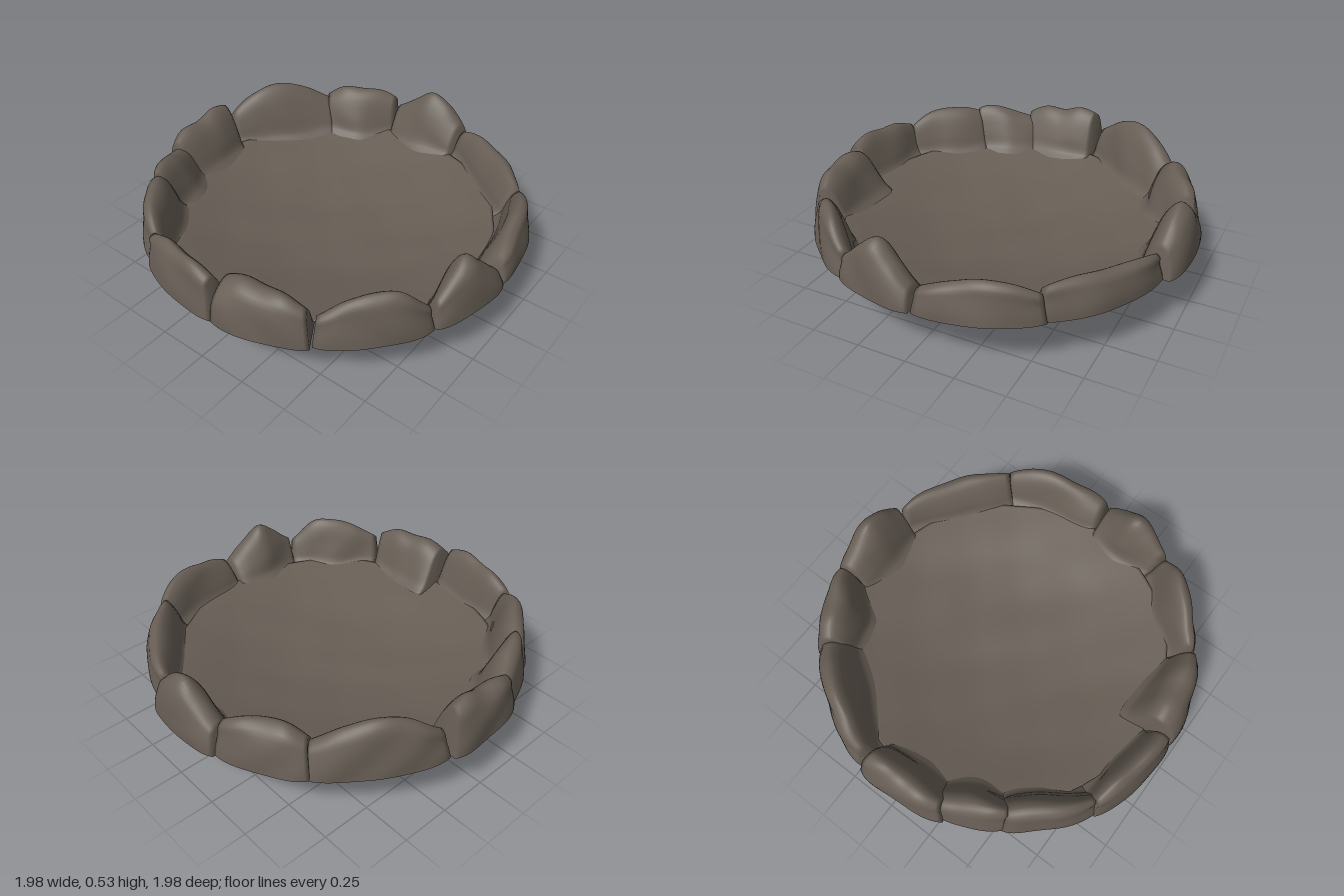
import * as THREE from 'three';
import { mergeVertices } from 'three/addons/utils/BufferGeometryUtils.js';

// Smooth position-based bumps, so shared points always move together
function bump(x, y, z) {
  return (Math.sin(9 * x + 4 * z + 1.3) * Math.sin(8 * z - 3 * x + 6 * y)
    + 0.6 * Math.sin(17 * x + 11 * y) * Math.sin(15 * z + 13 * y + 0.7)) / 1.6;
}

const spline = pts => new THREE.SplineCurve(pts.map(p => new THREE.Vector2(...p)));

// Dished shell: outer skin up to the rim, then the shallower inner floor
function makeBowl(material) {
  const outer = [[0, 0.004], [0.14, 0.012], [0.28, 0.025], [0.47, 0.055], [0.59, 0.105], [0.69, 0.175], [0.77, 0.228], [0.82, 0.252]];
  const inner = [[0.825, 0.262], [0.75, 0.243], [0.64, 0.215], [0.5, 0.182], [0.32, 0.153], [0.15, 0.141], [0, 0.138]];
  const profile = [...spline(outer).getPoints(26), ...spline(inner).getPoints(24)];
  profile.forEach(p => { p.x = Math.max(0, p.x); });
  let geo = new THREE.LatheGeometry(profile, 80);
  geo.deleteAttribute('normal');
  geo.deleteAttribute('uv');
  geo = mergeVertices(geo, 1e-4);
  const pos = geo.attributes.position;
  for (let i = 0; i < pos.count; i++) {
    const x = pos.getX(i), y = pos.getY(i), z = pos.getZ(i);
    const d = bump(x, 0, z);
    pos.setXYZ(i, x * (1 + 0.012 * d), Math.max(0, y + 0.007 * d), z * (1 + 0.012 * d));
  }
  geo.computeVertexNormals();
  const mesh = new THREE.Mesh(geo, material);
  mesh.name = 'bowl';
  return mesh;
}

// One rim stone: a hollow shell, open underneath, swept along an arc and closed at both ends
function makeStone([a0, a1, rins, rout, base, tops], material, index) {
  const RINGS = 24, SIDES = 30;
  const heights = spline(tops.map((h, i) => [i, h]));
  const inners = spline(rins.map((r, i) => [i, r]));
  const verts = [], faces = [];
  for (let s = 0; s <= RINGS; s++) {
    const t = s / RINGS;
    const end = Math.pow(Math.abs(2 * t - 1), 6);
    const top = heights.getPoint(t).y - 0.015 * end;
    const ri = inners.getPoint(t).y + 0.02 * end, ro = rout - 0.015 * end;
    const w = ro - ri, rise = top - base;
    // outer wall, chamfer, ridge, then the inner face running down into the bowl
    const section = new THREE.CatmullRomCurve3([
      [ro, base], [ro - 0.005, base + 0.25 * rise], [ro - 0.02, base + 0.62 * rise],
      [ro - 0.21 * w, base + 0.89 * rise], [ri + 0.58 * w, top],
      [ri + 0.36 * w, base + 0.85 * rise], [ri + 0.13 * w, base + 0.4 * rise],
      [ri, 0.268], [ri - 0.035, 0.235],
    ].map(p => new THREE.Vector3(p[0], p[1], 0)), false, 'centripetal');
    for (let i = 0; i < SIDES; i++) {
      const p = section.getPoint(i / (SIDES - 1));
      // ends lean inward towards the top
      const lean = 1 - 0.11 * Math.max(0, p.y - 0.25) / 0.25;
      const a = THREE.MathUtils.degToRad((a0 + a1) / 2 + (t - 0.5) * (a1 - a0) * lean);
      const d = bump(p.x * Math.cos(a) + index, p.y, p.x * Math.sin(a));
      const r = Math.min(1, p.x + 0.015 * d);
      verts.push(r * Math.cos(a), p.y + 0.008 * d, r * Math.sin(a));
    }
  }
  for (let s = 0; s < RINGS; s++) {
    for (let i = 0; i < SIDES - 1; i++) {
      const a = s * SIDES + i, b = a + SIDES;
      faces.push(a, a + 1, b, a + 1, b + 1, b);
    }
  }
  // end caps, fanned from the middle of the foot
  for (const s of [0, RINGS]) {
    const first = s * SIDES, last = first + SIDES - 1, centre = verts.length / 3;
    for (let k = 0; k < 3; k++) verts.push((verts[first * 3 + k] + verts[last * 3 + k]) / 2);
    for (let p = first; p < last; p++) faces.push(centre, ...(s ? [p, p + 1] : [p + 1, p]));
  }
  const geo = new THREE.BufferGeometry();
  geo.setAttribute('position', new THREE.Float32BufferAttribute(verts, 3));
  geo.setIndex(faces);
  geo.computeVertexNormals();
  const mesh = new THREE.Mesh(geo, material);
  mesh.name = 'rimStone' + (index + 1);
  return mesh;
}

export function createModel() {
  const stone = new THREE.MeshStandardMaterial({ color: 0x675e55, side: THREE.DoubleSide });
  stone.name = 'grey brown stone';

  const group = new THREE.Group();
  group.name = 'stoneFirePit';
  group.add(makeBowl(stone));

  // start and end angle (from +x towards +z), inner radii, outer radius, foot height, heights along the top
  const stones = [
    [-14, 14.5, [0.81, 0.77, 0.8], 1.0, 0.255, [0.4, 0.47, 0.535, 0.5, 0.42]],
    [14, 55, [0.84, 0.8, 0.83], 0.97, 0.255, [0.4, 0.415, 0.42, 0.43, 0.42]],
    [53, 88.5, [0.85, 0.82, 0.81], 0.985, 0.255, [0.4, 0.44, 0.45, 0.42, 0.38]],
    [89, 115, [0.79, 0.77, 0.84], 0.99, 0.255, [0.36, 0.45, 0.53, 0.47, 0.39]],
    [115, 148, [0.85, 0.8, 0.83], 0.975, 0.24, [0.38, 0.48, 0.49, 0.46, 0.4]],
    [148.5, 177, [0.81, 0.74, 0.7], 0.99, 0.24, [0.43, 0.47, 0.47, 0.48, 0.46]],
    [177, 208, [0.81, 0.81, 0.85], 0.99, 0.24, [0.46, 0.48, 0.47, 0.47, 0.43]],
    [206, 235, [0.85, 0.79, 0.77], 0.975, 0.255, [0.42, 0.46, 0.48, 0.48, 0.46]],
    [232, 256, [0.8, 0.74, 0.78], 0.965, 0.255, [0.48, 0.48, 0.46, 0.43, 0.41]],
    [252, 280.5, [0.8, 0.76, 0.78], 0.99, 0.255, [0.45, 0.48, 0.48, 0.51, 0.5]],
    [281, 322, [0.83, 0.76, 0.77], 0.975, 0.255, [0.42, 0.51, 0.53, 0.49, 0.42]],
    [319, 346.5, [0.78, 0.75, 0.82], 0.98, 0.255, [0.45, 0.49, 0.49, 0.48, 0.45]],
  ];
  stones.forEach((s, i) => group.add(makeStone(s, stone, i)));
  return group;
}
